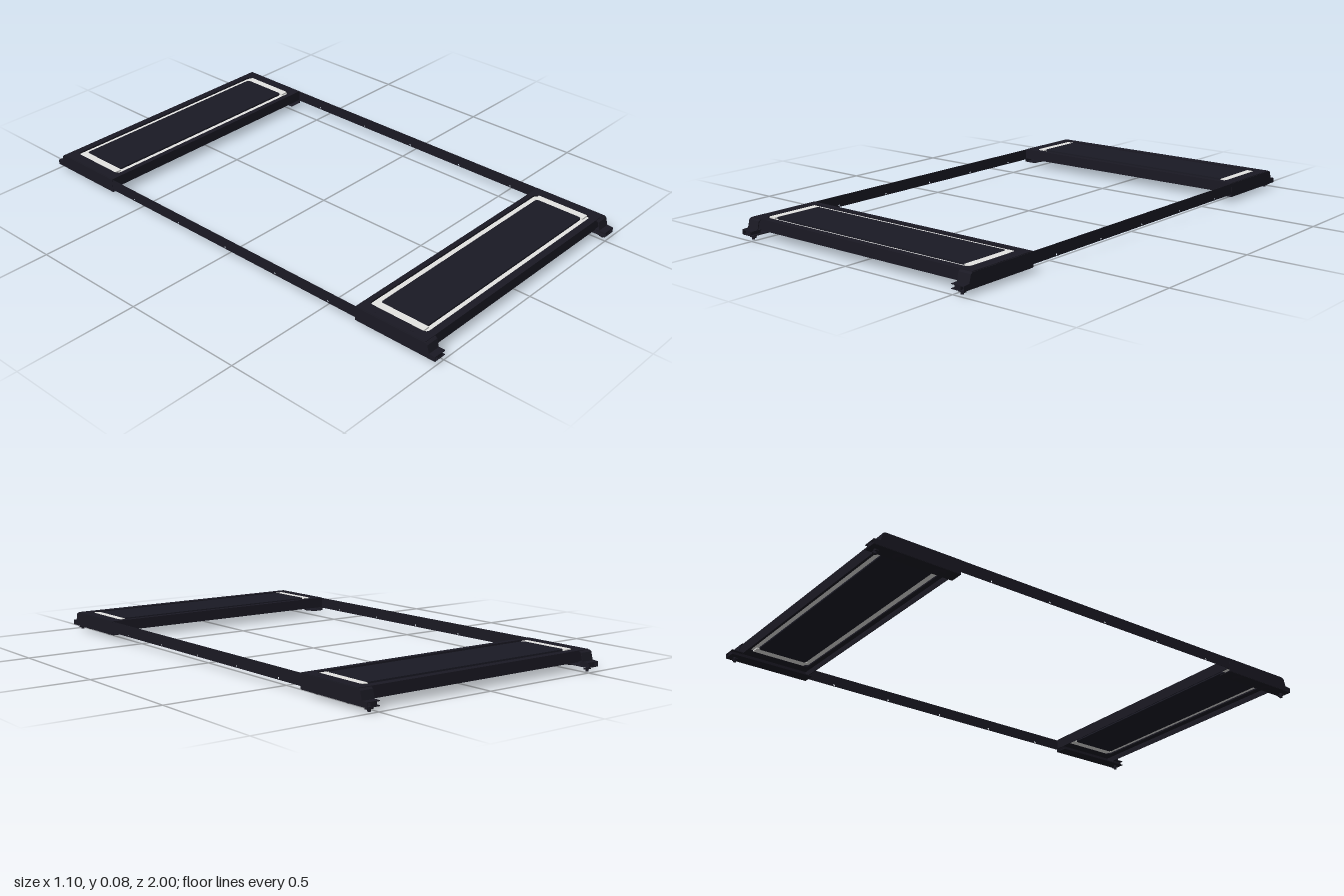
import * as THREE from 'three';

const dark = new THREE.MeshStandardMaterial({ name: 'dark metal', color: 0x1a1923 });
const panelBlue = new THREE.MeshStandardMaterial({ name: 'dark blue panel', color: 0x1a1a25 });
const pale = new THREE.MeshStandardMaterial({ name: 'pale seal', color: 0xe3e3e1 });

function add(parent, name, geometry, material = dark) {
  const mesh = new THREE.Mesh(geometry, material);
  mesh.name = name;
  parent.add(mesh);
  return mesh;
}

function box(parent, name, w, h, d, x, y, z, material) {
  const mesh = add(parent, name, new THREE.BoxGeometry(w, h, d), material);
  mesh.position.set(x, y, z);
  return mesh;
}

// Rounded rectangle in plan, centred on x = 0
function plan(hw, z0, z1, r, Type = THREE.Shape) {
  const s = new Type();
  s.moveTo(-hw + r, z0);
  s.lineTo(hw - r, z0);
  s.quadraticCurveTo(hw, z0, hw, z0 + r);
  s.lineTo(hw, z1 - r);
  s.quadraticCurveTo(hw, z1, hw - r, z1);
  s.lineTo(-hw + r, z1);
  s.quadraticCurveTo(-hw, z1, -hw, z1 - r);
  s.lineTo(-hw, z0 + r);
  s.quadraticCurveTo(-hw, z0, -hw + r, z0);
  return s;
}

// Horizontal plate whose top lies at y
function plate(shape, y, thickness) {
  return new THREE.ExtrudeGeometry(shape, { depth: thickness, bevelEnabled: false, curveSegments: 4 })
    .rotateX(Math.PI / 2).translate(0, y, 0);
}

// Side profile (z, y) extruded along x, centred on x
function sideways(shape, x, width) {
  return new THREE.ExtrudeGeometry(shape, { depth: width, bevelEnabled: false, curveSegments: 6 })
    .rotateY(-Math.PI / 2).translate(x + width / 2, 0, 0);
}

const profile = (points) => new THREE.Shape(points.map(([z, y]) => new THREE.Vector2(z, y)));

function makeTray() {
  const tray = new THREE.Group();

  // Top frame and inset panel
  const frame = plan(0.547, 0.65, 0.955, 0.002);
  frame.holes.push(plan(0.503, 0.672, 0.926, 0.018, THREE.Path));
  add(tray, 'topFrame', plate(frame, 0.0775, 0.021));
  add(tray, 'panel', plate(plan(0.471, 0.698, 0.903, 0.012), 0.0775, 0.021), panelBlue);

  // Pale seal, recessed along the long sides and nearly flush at the ends
  const ring = plan(0.503, 0.672, 0.926, 0.018);
  ring.holes.push(plan(0.471, 0.698, 0.903, 0.012, THREE.Path));
  add(tray, 'seal', plate(ring, 0.0705, 0.008), pale);
  for (const s of [-1, 1]) {
    box(tray, 'sealEnd', 0.032, 0.0195, 0.222, s * 0.487, 0.06725, 0.799, pale);
  }

  // Inner and outer walls
  box(tray, 'innerWall', 1.096, 0.042, 0.003, 0, 0.055, 0.6515);
  box(tray, 'outerWall', 1.096, 0.042, 0.003, 0, 0.055, 0.9535);

  for (const s of [-1, 1]) {
    const bracket = new THREE.Group();
    bracket.name = s > 0 ? 'leftBracket' : 'rightBracket';
    tray.add(bracket);

    // Side wall with its sloping end
    const wall = profile([[0.65, 0.02], [1, 0.02], [1, 0.038], [0.974, 0.04], [0.966, 0.07],
      [0.958, 0.0755], [0.65, 0.0755]]);
    add(bracket, 'sideWall', sideways(wall, s * 0.5485, 0.003));
    const slope = profile([[0.971, 0.037], [0.974, 0.037], [0.966, 0.07], [0.958, 0.0755],
      [0.953, 0.0755], [0.963, 0.068]]);
    add(bracket, 'endSlope', sideways(slope, s * 0.522, 0.052));

    // Hollow end tab, bottom flange and clamp block
    box(bracket, 'tabTop', 0.054, 0.003, 0.045, s * 0.522, 0.0365, 0.9775);
    box(bracket, 'flange', 0.054, 0.003, 0.35, s * 0.522, 0.02, 0.825);
    box(bracket, 'clampBlock', 0.026, 0.016, 0.045, s * 0.52, 0.028, 0.975);

    // Clamp pin and cross bar below the tab
    const pin = add(bracket, 'pin', new THREE.CylinderGeometry(0.006, 0.006, 0.02, 12));
    pin.position.set(s * 0.52, 0.01, 0.975);
    box(bracket, 'pinBar', 0.027, 0.004, 0.012, s * 0.52, 0.01, 0.975);

    // Knobs under the flange and flush screws on top
    for (const z of [0.72, 0.885]) {
      const knob = add(bracket, 'knob', new THREE.CylinderGeometry(0.024, 0.013, 0.007, 16));
      knob.position.set(s * 0.522, 0.0155, z);
      const screw = add(bracket, 'screw', new THREE.CylinderGeometry(0.006, 0.006, 0.002, 10));
      screw.position.set(s * 0.528, 0.077, z);
    }
  }
  return tray;
}

export function createModel() {
  const model = new THREE.Group();

  // Two identical end trays
  for (const front of [true, false]) {
    const tray = makeTray();
    tray.name = front ? 'frontTray' : 'backTray';
    if (!front) tray.rotation.y = Math.PI;
    model.add(tray);
  }

  // Thin side rails with a row of small holes
  for (const s of [-1, 1]) {
    const rail = profile([[-0.655, 0.03], [0.655, 0.03], [0.655, 0.0755], [-0.655, 0.0755]]);
    for (let i = -2; i <= 2; i++) {
      rail.holes.push(new THREE.Path().absarc(i * 0.26, 0.036, 0.004, 0, Math.PI * 2, true));
    }
    add(model, s > 0 ? 'leftRail' : 'rightRail', sideways(rail, s * 0.548, 0.002));
  }
  return model;
}
